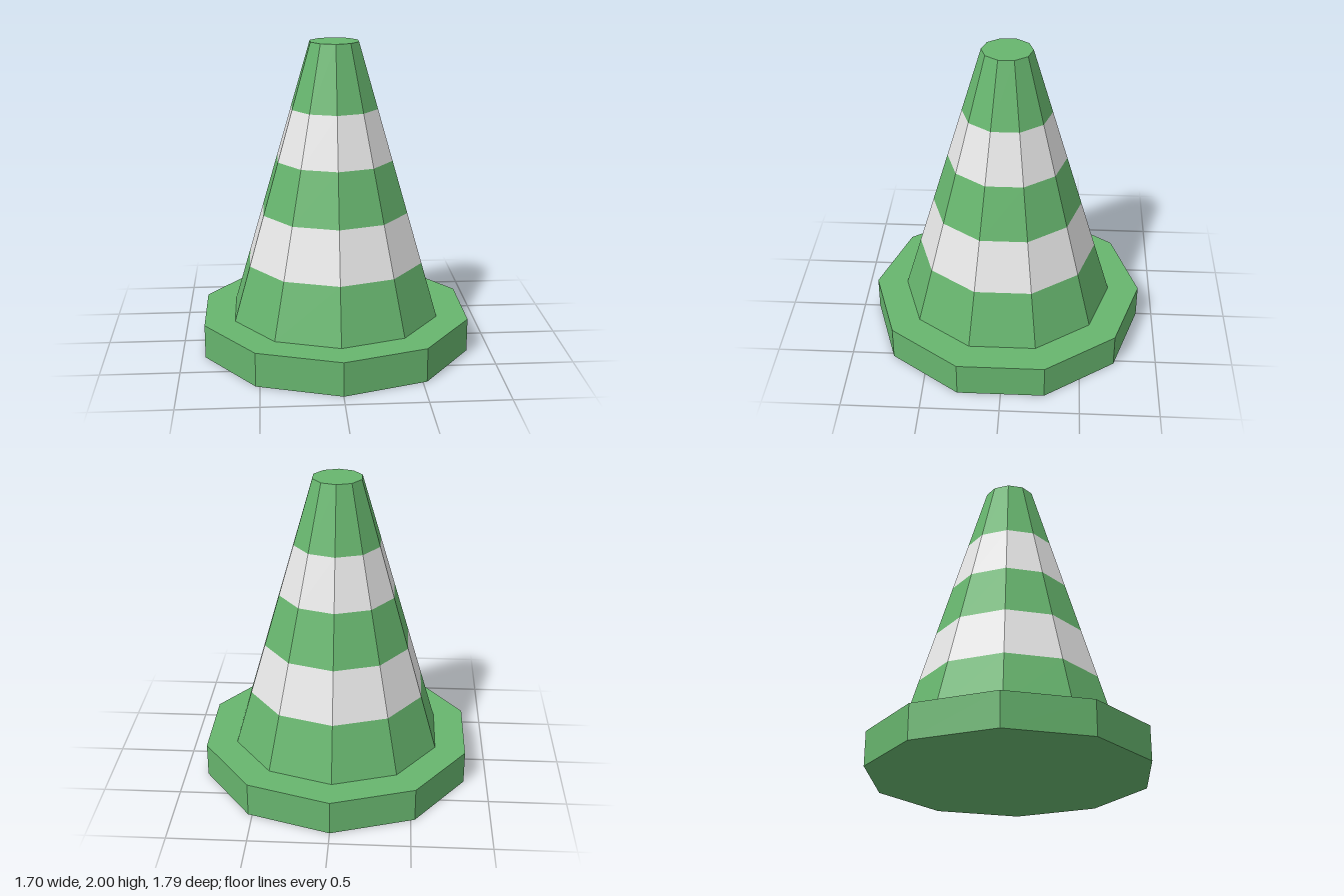
import * as THREE from 'three';

const SIDES = 10;

export function createModel() {
  const green = new THREE.MeshStandardMaterial({ color: 0x67b56e });
  green.name = 'green';
  green.flatShading = true;
  const white = new THREE.MeshStandardMaterial({ color: 0xeeeeee });
  white.name = 'white';
  white.flatShading = true;

  const group = new THREE.Group();
  group.name = 'trafficCone';

  // Ten-sided frustum between two heights
  const addFrustum = (name, material, y0, y1, r0, r1, open) => {
    const geometry = new THREE.CylinderGeometry(r1, r0, y1 - y0, SIDES, 1, open);
    geometry.translate(0, (y0 + y1) / 2, 0);
    const mesh = new THREE.Mesh(geometry, material);
    mesh.name = name;
    group.add(mesh);
  };

  // Flat foot
  addFrustum('base', green, 0, 0.22, 0.895, 0.895, false);

  // Tapered body, split into alternating bands
  const levels = [0.22, 0.58, 0.91, 1.25, 1.58, 2];
  const names = ['lowerBody', 'lowerStripe', 'middleBody', 'upperStripe', 'upperBody'];
  const radiusAt = (y) => THREE.MathUtils.mapLinear(y, 0.22, 2, 0.69, 0.16);
  names.forEach((name, i) => {
    const y0 = levels[i], y1 = levels[i + 1];
    const isTop = i === names.length - 1;
    addFrustum(name, i % 2 ? white : green, y0, y1, radiusAt(y0), radiusAt(y1), !isTop);
  });

  return group;
}
